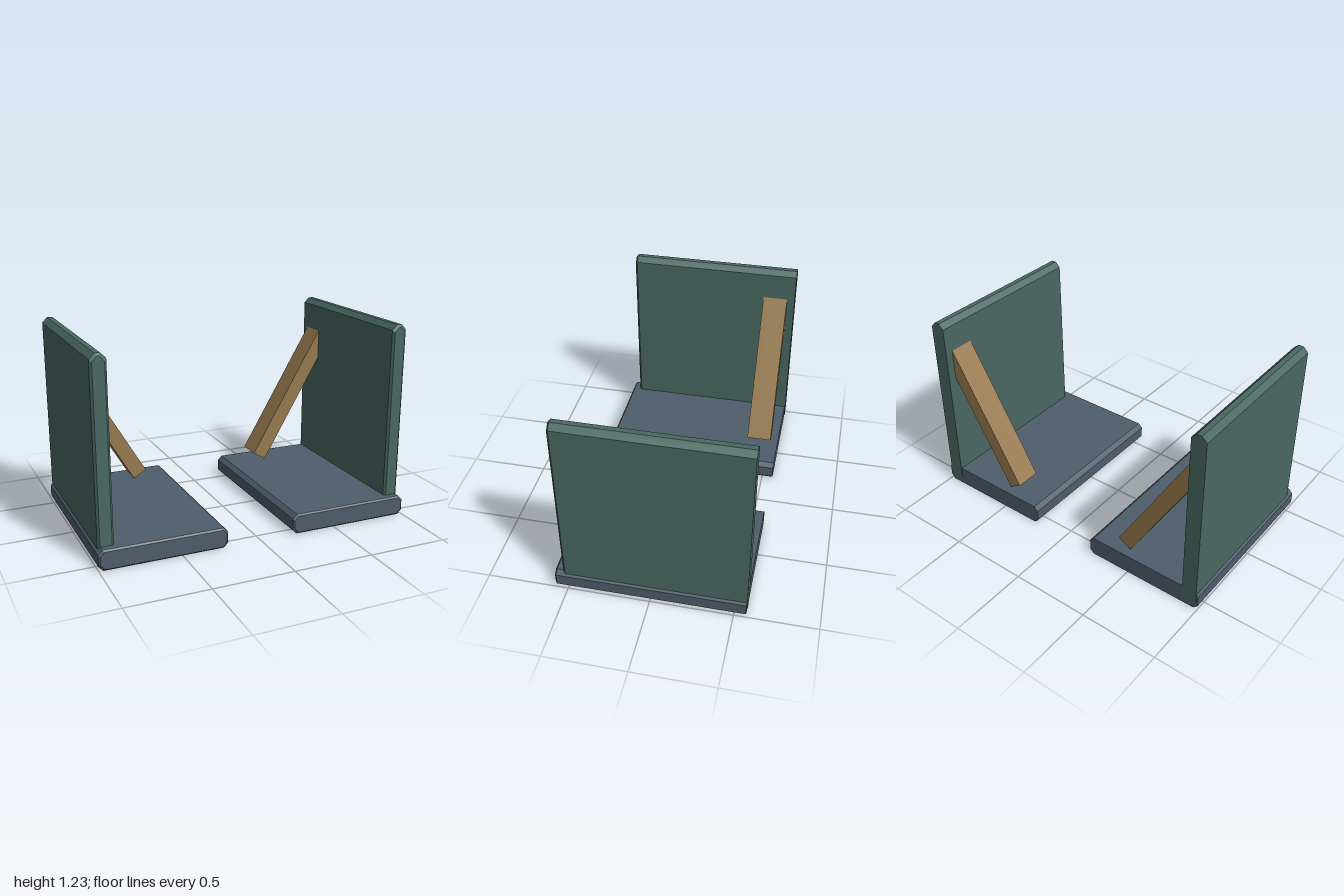
import * as THREE from 'three';
import { ConvexGeometry } from 'three/addons/geometries/ConvexGeometry.js';

// Chamfered slab running along z, flat at the back, with a narrow bevel at the front
function slab(x0, x1, y0, y1, z0, z1, chamfer, bevel) {
  const points = [];
  const ring = (inset, z) => {
    const a = x0 + inset, b = x1 - inset, c = y0 + inset, d = y1 - inset, k = chamfer;
    for (const [x, y] of [
      [a + k, c], [b - k, c], [b, c + k], [b, d - k],
      [b - k, d], [a + k, d], [a, d - k], [a, c + k],
    ]) points.push(new THREE.Vector3(x, y, z));
  };
  ring(0, z0);
  ring(0, z1 - bevel);
  ring(bevel, z1);
  return new ConvexGeometry(points);
}

export function createModel() {
  const material = (name, color) => {
    const m = new THREE.MeshStandardMaterial({ color });
    m.name = name;
    return m;
  };
  const slate = material('slate', 0x4f5d6c);
  const green = material('darkGreen', 0x4a6862);
  const wood = material('wood', 0x987a4e);

  const model = new THREE.Group();
  model.name = 'bookends';

  for (const side of [-1, 1]) {
    const bookend = new THREE.Group();
    bookend.name = side > 0 ? 'leftBookend' : 'rightBookend';
    const add = (name, geometry, mat) => {
      const mesh = new THREE.Mesh(geometry, mat);
      mesh.name = name;
      bookend.add(mesh);
      return mesh;
    };
    // Spans x from inner to outer on either side
    const mirrored = (inner, outer, ...rest) =>
      side > 0 ? slab(inner, outer, ...rest) : slab(-outer, -inner, ...rest);

    // Foot plate and upright panel
    add('base', mirrored(0.215, 1, 0, 0.126, -0.572, 0.577, 0.027, 0.01), slate);
    add('panel', mirrored(0.892, 0.988, 0.024, 1.226, -0.576, 0.527, 0.032, 0.013), green);

    // Diagonal brace, its upper end buried in the panel
    const start = new THREE.Vector2(0.443, 0.165);
    const end = new THREE.Vector2(0.936, 1.005);
    const mid = start.clone().add(end).multiplyScalar(0.5);
    const brace = add('brace', new THREE.BoxGeometry(start.distanceTo(end), 0.097, 0.16), wood);
    brace.position.set(side * mid.x, mid.y, -0.445);
    brace.rotation.z = side * end.sub(start).angle();

    model.add(bookend);
  }
  return model;
}
